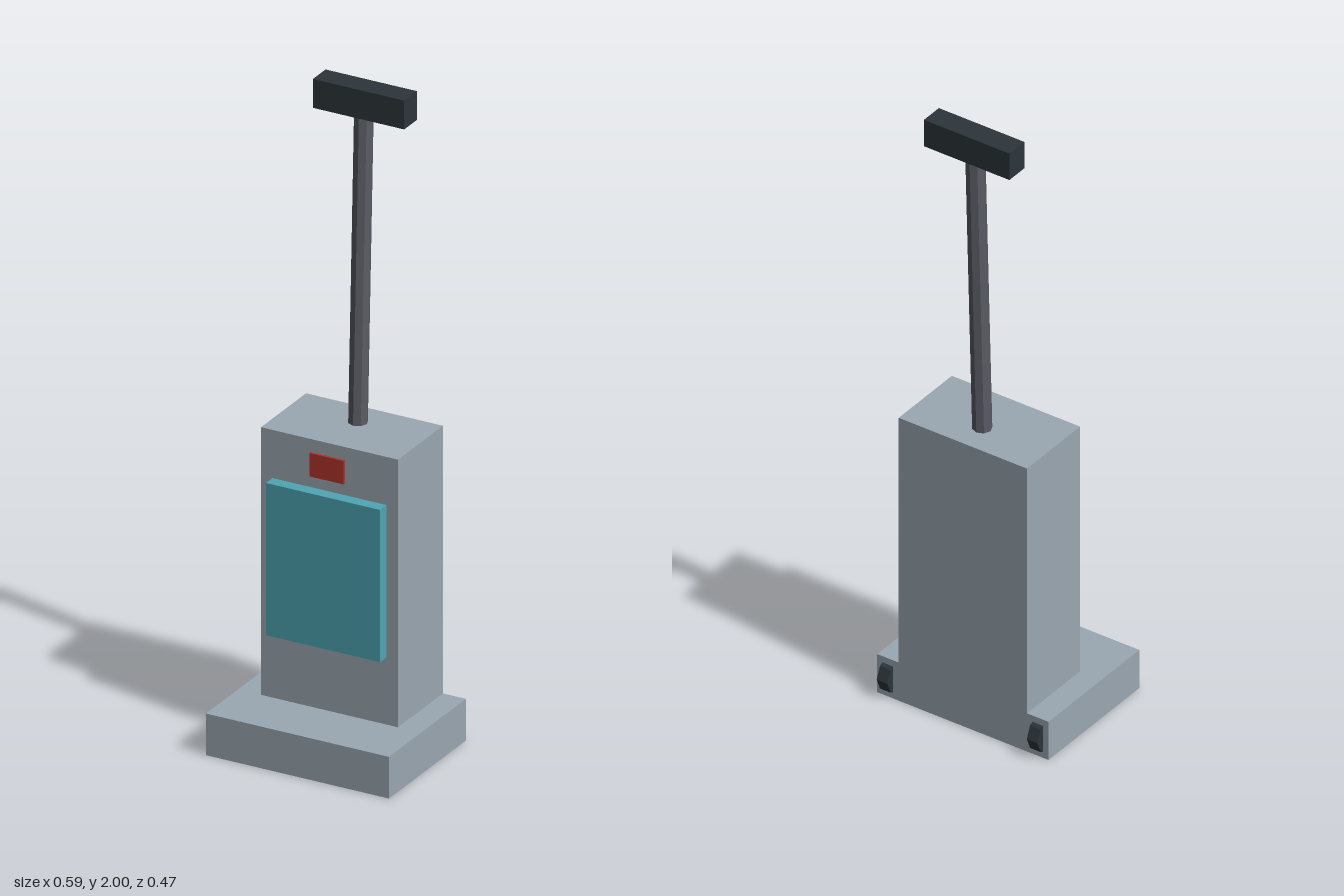
import * as THREE from 'three';

export function createModel() {
  const group = new THREE.Group();

  const paint = (name, color, flatShading = false) =>
    new THREE.MeshStandardMaterial({ name, color, flatShading });
  const shell = paint('greyShell', 0x9aa7b2);
  const teal = paint('tealPanel', 0x4fa5b3);
  const red = paint('redSwitch', 0xb0342b);
  const steel = paint('darkSteel', 0x5a5c64, true);
  const rubber = paint('blackRubber', 0x2d353b, true);

  const add = (name, geometry, material) => {
    const mesh = new THREE.Mesh(geometry, material);
    mesh.name = name;
    group.add(mesh);
    return mesh;
  };

  // Box centred on x, given by its width and its y and z limits
  const box = (name, width, [y0, y1], [z0, z1], material) =>
    add(name, new THREE.BoxGeometry(width, y1 - y0, z1 - z0), material)
      .position.set(0, (y0 + y1) / 2, (z0 + z1) / 2);

  // Floor head and upright body, flush at the back
  box('base', 0.593, [0, 0.13], [-0.21, 0.235], shell);
  box('body', 0.444, [0.13, 0.965], [-0.21, 0.05], shell);

  // Front panel and the thin switch plate standing off the body
  box('frontPanel', 0.37, [0.34, 0.815], [0.05, 0.088], teal);
  box('switchPlate', 0.11, [0.857, 0.93], [0.06, 0.068], red);

  // Eight-sided pole leaning back from the body to the grip
  const foot = new THREE.Vector3(0, 0.94, -0.114);
  const head = new THREE.Vector3(0, 1.93, -0.149);
  const axis = head.clone().sub(foot);
  const pole = add('pole', new THREE.CylinderGeometry(0.029, 0.029, axis.length(), 8), steel);
  pole.position.copy(foot).add(head).multiplyScalar(0.5);
  pole.quaternion.setFromUnitVectors(new THREE.Vector3(0, 1, 0), axis.normalize());

  box('grip', 0.296, [1.91, 2], [-0.191, -0.118], rubber);

  // Rear wheels, sunk into the base
  for (const [name, x] of [['leftWheel', 0.26], ['rightWheel', -0.26]]) {
    const wheel = add(name, new THREE.CylinderGeometry(0.055, 0.055, 0.037, 8), rubber);
    wheel.rotation.z = Math.PI / 2;
    wheel.position.set(x, 0.065, -0.183);
  }

  return group;
}
